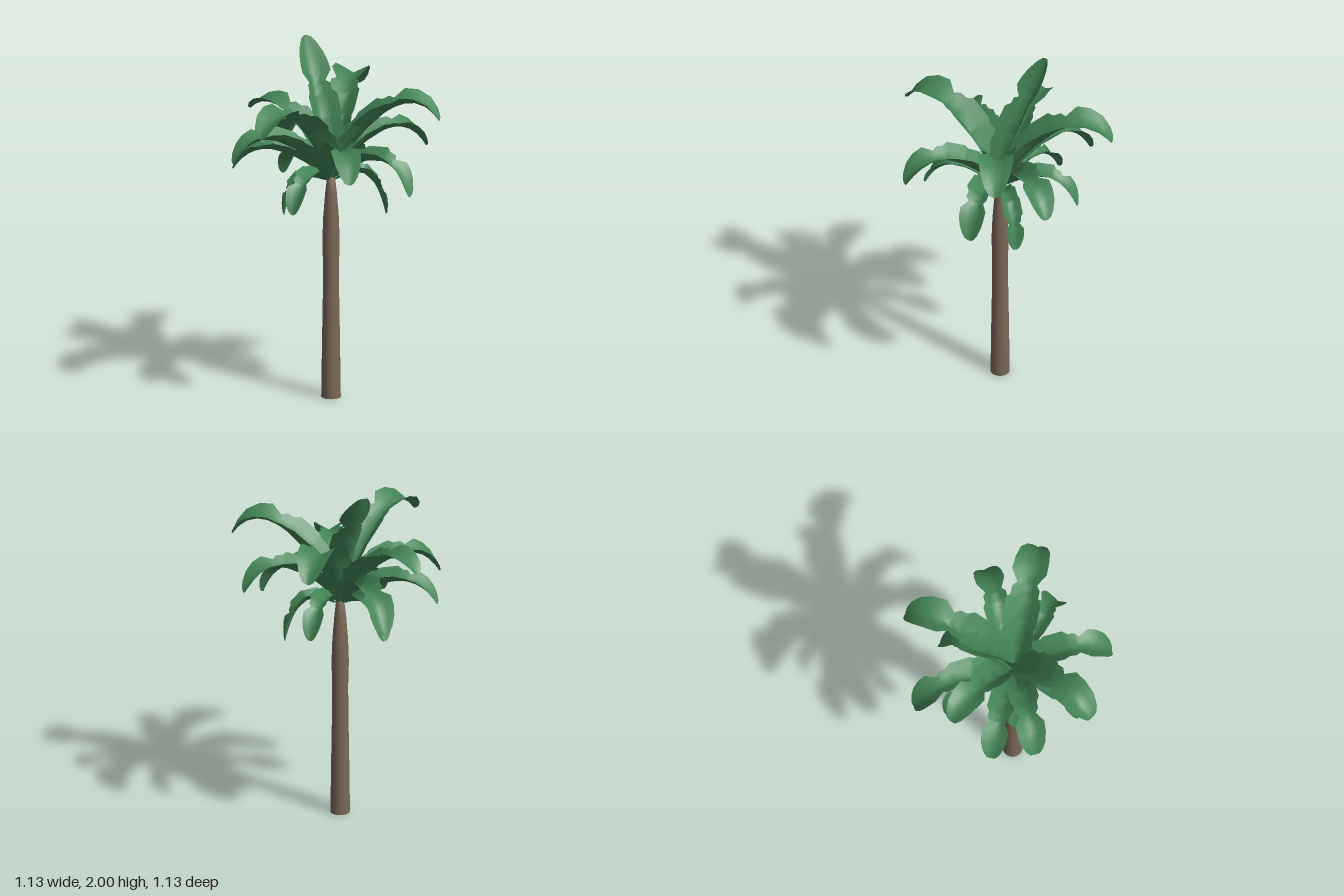
import * as THREE from 'three';

const bark = new THREE.MeshStandardMaterial({ color: 0x7a6858, side: THREE.DoubleSide });
const green = new THREE.MeshStandardMaterial({ color: 0x438456, side: THREE.DoubleSide });
const base = new THREE.Vector3(0, 1.25, 0.03);

// frond outline: [position along the rib, share of the half width]
const outline = [[0, 0.1], [0.08, 0.22], [0.145, 0.58], [0.2, 0.9], [0.24, 0.82], [0.3, 1],
  [0.4, 0.9], [0.43, 1], [0.57, 0.97], [0.6, 0.75], [0.645, 0.73], [0.67, 0.52], [0.735, 0.88],
  [0.8, 0.83], [0.87, 0.7], [0.94, 0.48], [0.985, 0.27], [1, 0.08]];

// tip x, y, z, crest height of the rib, half width
const fronds = {
  crownFrond: [[0, 2, -0.28, 1.89, 0.115]],
  upperFrond: [[0.41, 1.62, -0.44, 1.755, 0.13], [0.49, 1.62, 0.385, 1.755, 0.13],
    [-0.55, 1.63, 0.27, 1.755, 0.13], [-0.25, 1.57, -0.445, 1.655, 0.115]],
  middleFrond: [[0.557, 1.39, 0.09, 1.53, 0.108], [-0.15, 1.39, 0.557, 1.53, 0.108],
    [-0.548, 1.39, -0.07, 1.53, 0.108], [0, 1.29, -0.56, 1.465, 0.108],
    [-0.44, 1.29, -0.285, 1.415, 0.098], [0.29, 1.22, 0.42, 1.395, 0.098]],
  lowerFrond: [[-0.36, 1.17, 0.28, 1.31, 0.08], [0.32, 1.2, -0.27, 1.35, 0.08],
    [-0.07, 1.18, -0.4, 1.32, 0.08], [-0.245, 1.06, -0.05, 1.225, 0.068],
    [0.295, 1.04, 0.12, 1.235, 0.068]],
};

// an arching frond with its two halves raised into a channel that flattens at the tip
function frondGeometry([x, y, z, crest, halfWidth]) {
  const tip = new THREE.Vector3(x, y, z);
  const p1 = base.clone().lerp(tip, 0.25).setY(base.y + 0.6 * (crest - base.y));
  const p2 = base.clone().lerp(tip, 0.72).setY(2 * crest - y);
  const rib = new THREE.CubicBezierCurve3(base, p1, p2, tip);
  const side = new THREE.Vector3(z - base.z, 0, -x).normalize();
  const positions = [], index = [];
  outline.forEach(([t, share], row) => {
    const centre = rib.getPointAt(t);
    const up = rib.getTangentAt(t).cross(side).normalize();
    const fold = 0.82 - 0.5 * t * t;
    const reach = halfWidth * share;
    for (const s of [-1, -0.5, 0, 0.5, 1]) {
      const p = centre.clone()
        .addScaledVector(side, s * reach * Math.cos(fold))
        .addScaledVector(up, Math.abs(s) * reach * Math.sin(fold));
      positions.push(p.x, p.y, p.z);
    }
    if (row === 0) return;
    for (let c = 0; c < 4; c++) {
      const a = (row - 1) * 5 + c, b = row * 5 + c;
      index.push(a, b, a + 1, a + 1, b, b + 1);
    }
  });
  const g = new THREE.BufferGeometry();
  g.setAttribute('position', new THREE.Float32BufferAttribute(positions, 3));
  g.setIndex(index);
  g.computeVertexNormals();
  return g;
}

export function createModel() {
  const model = new THREE.Group();

  // trunk, open below, slightly waisted and tapering into the crown
  const profile = [[0.054, 0], [0.05, 0.3], [0.045, 0.6], [0.044, 0.76], [0.048, 0.9],
    [0.043, 1.04], [0.032, 1.18], [0.022, 1.27], [0, 1.27]].map(([r, h]) => new THREE.Vector2(r, h));
  const trunk = new THREE.Mesh(new THREE.LatheGeometry(profile, 16), bark);
  trunk.name = 'trunk';
  trunk.position.set(0.003, 0, base.z);
  model.add(trunk);

  // fronds in tiers
  for (const [name, list] of Object.entries(fronds)) {
    list.forEach((f, i) => {
      const frond = new THREE.Mesh(frondGeometry(f), green);
      frond.name = name + (i + 1);
      model.add(frond);
    });
  }
  return model;
}
